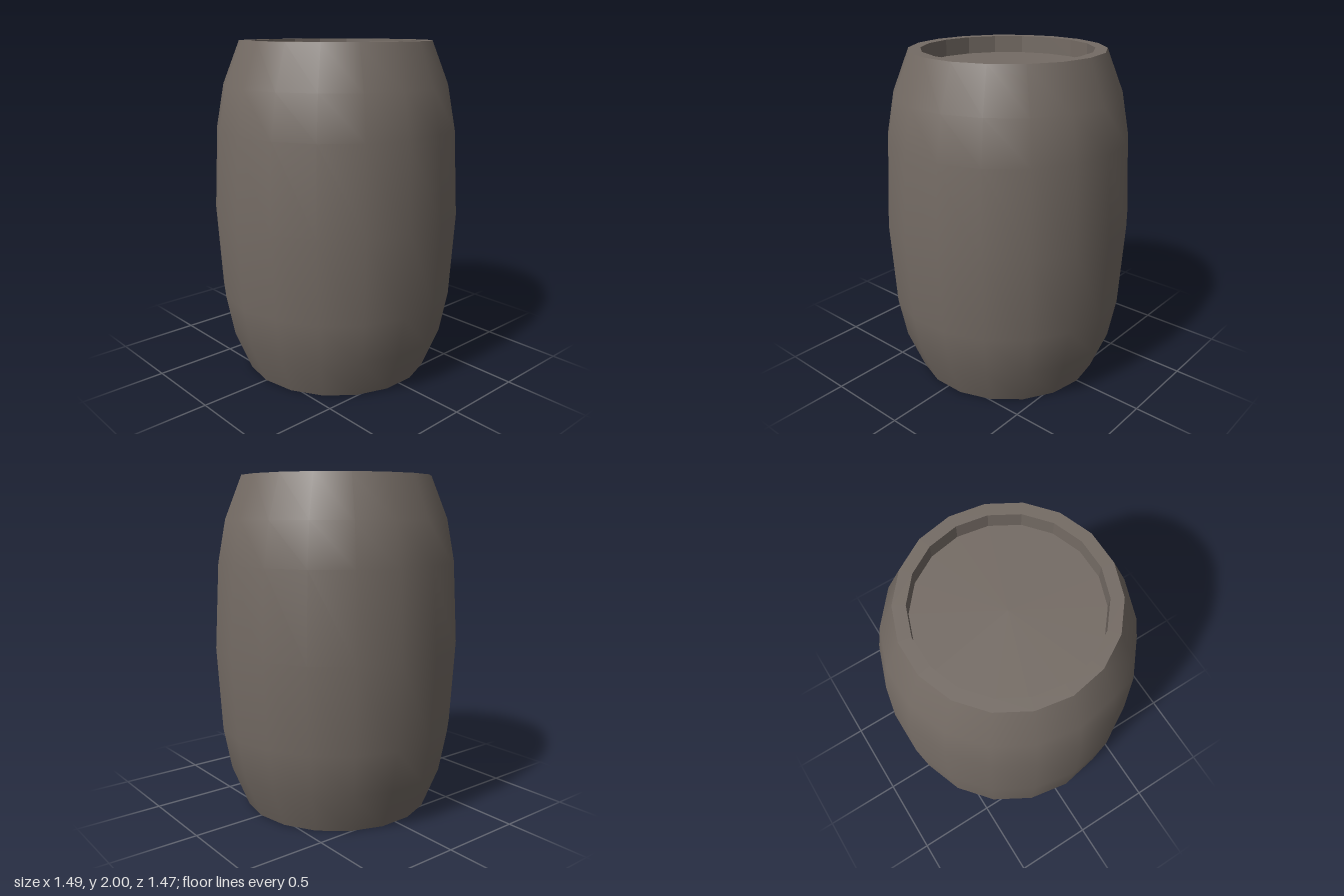
import * as THREE from 'three';

const SIDES = 18;

export function createModel() {
  const model = new THREE.Group();
  model.name = 'barrel';

  const wood = new THREE.MeshStandardMaterial({ color: 0x746b64 });
  wood.name = 'weathered wood';

  // Each part is a turned strip; separate strips keep the rims sharp.
  const addTurned = (name, profile, flat = false) => {
    const points = profile.map(([r, y]) => new THREE.Vector2(r, y));
    let geometry = new THREE.LatheGeometry(points, SIDES, Math.PI / 2);
    if (flat) {
      geometry = geometry.toNonIndexed();
      geometry.computeVertexNormals();
    }
    const mesh = new THREE.Mesh(geometry, wood);
    mesh.name = name;
    model.add(mesh);
  };

  // Bulging outer wall
  addTurned('body', [
    [0.57, 0], [0.67, 0.25], [0.717, 0.5], [0.745, 1],
    [0.717, 1.5], [0.67, 1.75], [0.57, 2],
  ]);

  // Flat underside
  addTurned('base', [[0, 0], [0.57, 0]]);

  // Top rim, its inner wall and the recessed lid
  addTurned('rim', [[0.57, 2], [0.5, 2]]);
  addTurned('innerWall', [[0.5, 2], [0.5, 1.9]], true);
  addTurned('lid', [[0.5, 1.9], [0, 1.9]]);

  return model;
}
